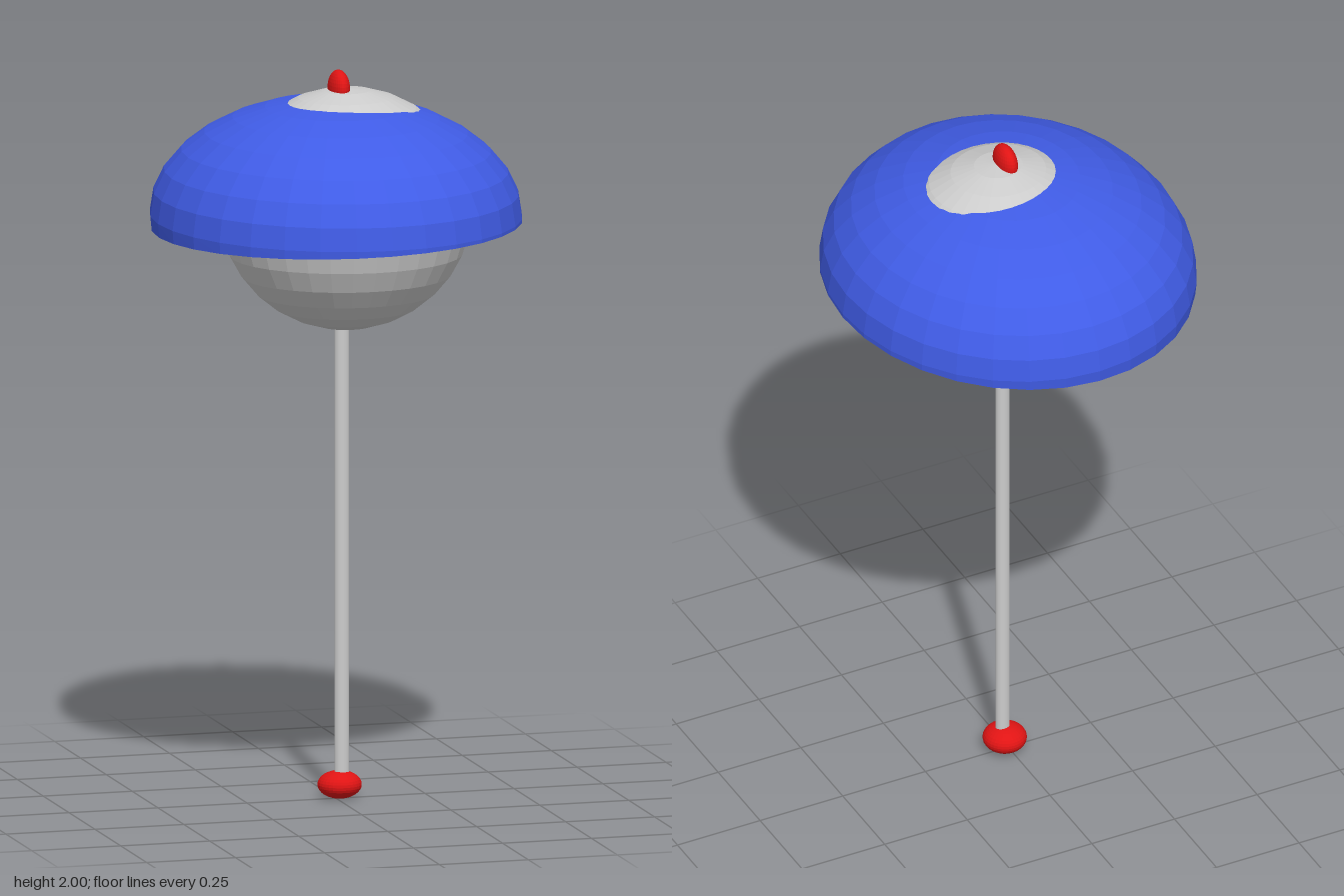
import * as THREE from 'three';

const material = (color, side = THREE.FrontSide) =>
  new THREE.MeshStandardMaterial({ color, side, flatShading: true });

const grey = material(0xcccccc);
const red = material(0xe01414);
const blue = material(0x405ce6, THREE.DoubleSide);

// Faceted ellipsoid with given centre and radii
function ellipsoid(name, mat, [x, y, z], [rx, ry, rz]) {
  const mesh = new THREE.Mesh(new THREE.SphereGeometry(1, 32, 16).scale(rx, ry, rz), mat);
  mesh.position.set(x, y, z);
  mesh.name = name;
  return mesh;
}

// Open dome whose lowest ring is trimmed to a slightly tilted plane
function shade() {
  const rx = 0.5, ry = 0.32, rz = 0.55, centreY = 1.603;
  const step = Math.PI / 16;
  const geo = new THREE.SphereGeometry(1, 32, 9, 0, Math.PI * 2, 0, 9 * step);
  const p = geo.attributes.position;
  for (let i = 0; i < p.count; i++) {
    let x = p.getX(i), y = p.getY(i), z = p.getZ(i);
    if (y < -0.1) {
      const rim = 1.578 + 0.027 * x * rx + 0.017 * z * rz;
      y = (rim - centreY) / ry;
      const grow = Math.sqrt(1 - y * y) / Math.hypot(x, z);
      x *= grow;
      z *= grow;
    }
    p.setXYZ(i, x * rx, y * ry, z * rz);
  }
  geo.computeVertexNormals();
  const mesh = new THREE.Mesh(geo, blue);
  mesh.position.y = centreY;
  mesh.name = 'shade';
  return mesh;
}

export function createModel() {
  const model = new THREE.Group();
  model.name = 'floorLamp';

  // Slim oval pole
  const pole = new THREE.Mesh(
    new THREE.CylinderGeometry(1, 1, 1.27, 32).scale(0.02, 1, 0.016), grey);
  pole.position.set(0.015, 0.685, 0.003);
  pole.name = 'pole';

  model.add(
    pole,
    ellipsoid('foot', red, [0.01, 0.038, 0], [0.06, 0.038, 0.06]),
    ellipsoid('globe', grey, [0.028, 1.62, 0.003], [0.343, 0.33, 0.315]),
    ellipsoid('finial', red, [0.008, 1.95, 0], [0.028, 0.05, 0.052]),
    shade()
  );
  return model;
}
